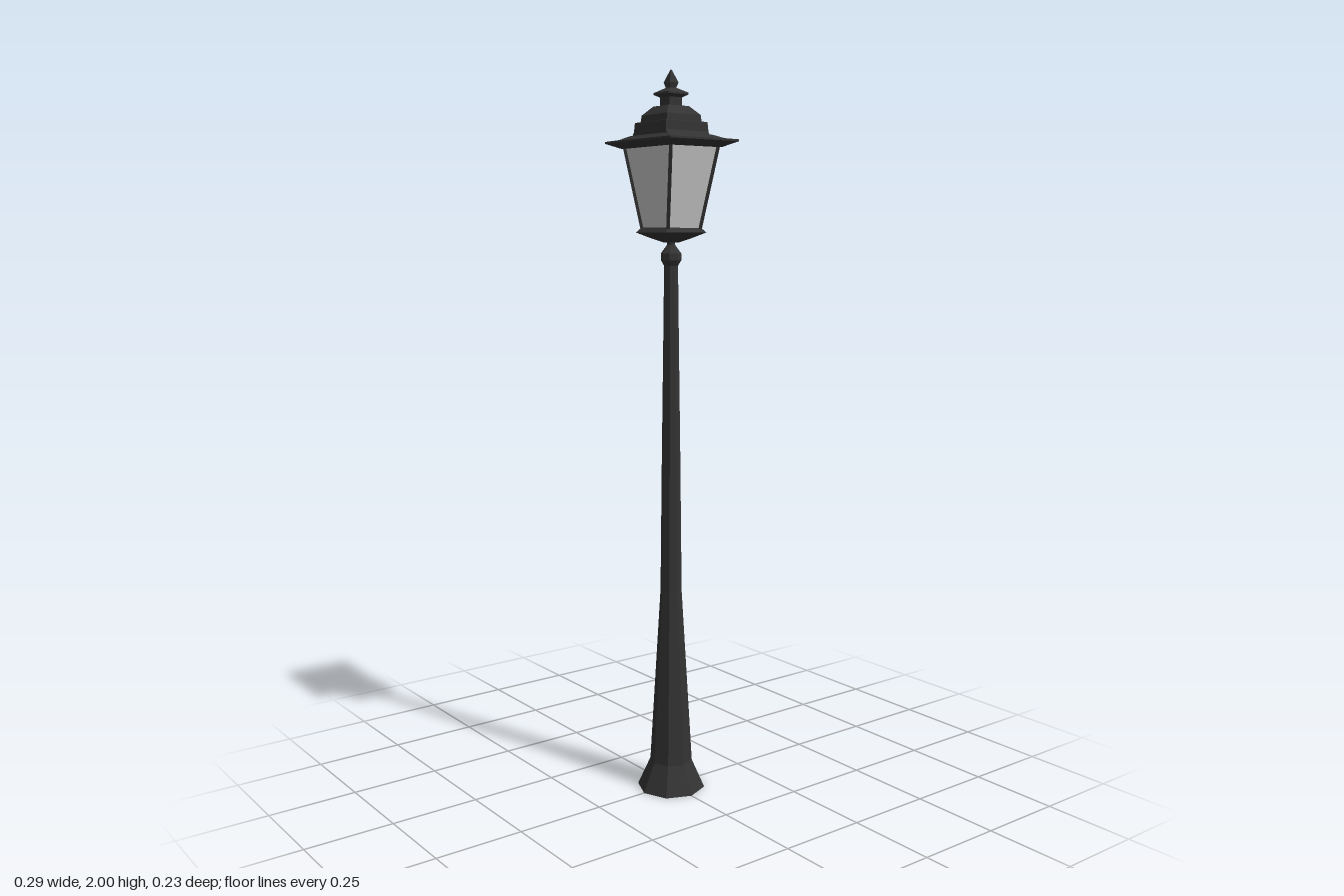
import * as THREE from 'three';

const iron = new THREE.MeshStandardMaterial({ color: 0x333333 });
iron.name = 'dark iron';
const glass = new THREE.MeshStandardMaterial({ color: 0xc6c6c6 });
glass.name = 'frosted glass';

// Closed solid through rectangular sections [y, halfX, halfZ], bottom to top, with flat faces
function rectLoft(sections) {
  const rings = sections.map(([y, x, z]) => [[x, y, z], [x, y, -z], [-x, y, -z], [-x, y, z]]);
  const pos = [];
  const quad = (a, b, c, d) => pos.push(...a, ...b, ...c, ...a, ...c, ...d);
  for (let k = 0; k < rings.length - 1; k++) {
    for (let i = 0; i < 4; i++) {
      const j = (i + 1) % 4;
      quad(rings[k][i], rings[k][j], rings[k + 1][j], rings[k + 1][i]);
    }
  }
  const top = rings[rings.length - 1];
  quad(top[0], top[1], top[2], top[3]);
  quad(rings[0][3], rings[0][2], rings[0][1], rings[0][0]);
  const geo = new THREE.BufferGeometry();
  geo.setAttribute('position', new THREE.Float32BufferAttribute(pos, 3));
  geo.computeVertexNormals();
  return geo;
}

// Eight-sided turned solid from [radius, y] points, with flat faces
function octagonTurn(profile) {
  const geo = new THREE.LatheGeometry(profile.map(([r, y]) => new THREE.Vector2(r, y)), 8).toNonIndexed();
  geo.computeVertexNormals();
  return geo;
}

// Square bar between two points
function bar(a, b, radius) {
  const dir = b.clone().sub(a);
  const geo = new THREE.CylinderGeometry(radius, radius, dir.length(), 4).toNonIndexed();
  geo.computeVertexNormals();
  const mesh = new THREE.Mesh(geo, iron);
  mesh.position.copy(a).add(b).multiplyScalar(0.5);
  mesh.quaternion.setFromUnitVectors(new THREE.Vector3(0, 1, 0), dir.normalize());
  return mesh;
}

export function createModel() {
  const model = new THREE.Group();
  model.name = 'streetLamp';
  const add = (name, geo, material = iron) => {
    const mesh = new THREE.Mesh(geo, material);
    mesh.name = name;
    model.add(mesh);
  };

  // Tapered octagonal post with flared foot
  add('post', octagonTurn([
    [0, 0], [0.096, 0], [0.06, 0.08], [0.03, 0.58], [0.026, 0.95], [0.022, 1.25], [0.019, 1.49], [0, 1.49],
  ]));

  // Collar knob and neck under the lantern
  add('collar', octagonTurn([
    [0, 1.483], [0.018, 1.483], [0.028, 1.5], [0.028, 1.518], [0.011, 1.541], [0.011, 1.558], [0, 1.558],
  ]));

  // Dish carrying the lantern
  add('lanternBase', rectLoft([
    [1.547, 0.014, 0.014], [1.558, 0.038, 0.038], [1.574, 0.068, 0.068], [1.587, 0.058, 0.056],
  ]));

  // Tapered glass body
  const low = [1.583, 0.058, 0.054], high = [1.803, 0.104, 0.079];
  add('lanternGlass', rectLoft([low, high]), glass);

  // Corner bars and lower rails of the frame
  const frame = new THREE.Group();
  frame.name = 'lanternFrame';
  const at = ([y, x, z], sx, sz) => new THREE.Vector3(x * sx, y, z * sz);
  for (const sx of [-1, 1]) {
    for (const sz of [-1, 1]) frame.add(bar(at(low, sx, sz), at(high, sx, sz), 0.006));
  }
  frame.children.forEach((mesh, i) => { mesh.name = 'cornerBar' + (i + 1); });
  model.add(frame);

  // Flared roof brim
  add('roofBrim', rectLoft([
    [1.797, 0.11, 0.086], [1.811, 0.147, 0.113], [1.816, 0.147, 0.113], [1.82, 0.115, 0.09], [1.83, 0.085, 0.072],
  ]));

  // Stepped roof tiers
  add('roofTiers', rectLoft([
    [1.82, 0.085, 0.071], [1.838, 0.071, 0.071], [1.863, 0.069, 0.069], [1.865, 0.058, 0.058],
    [1.882, 0.056, 0.056], [1.905, 0.034, 0.034], [1.907, 0.021, 0.021], [1.93, 0.021, 0.021],
  ]));

  // Flanged finial with pointed tip
  add('finial', rectLoft([
    [1.928, 0.021, 0.021], [1.935, 0.033, 0.033], [1.94, 0.033, 0.033], [1.953, 0.01, 0.01],
    [1.966, 0.014, 0.014], [1.985, 0.007, 0.007], [2, 0.001, 0.001],
  ]));

  return model;
}
